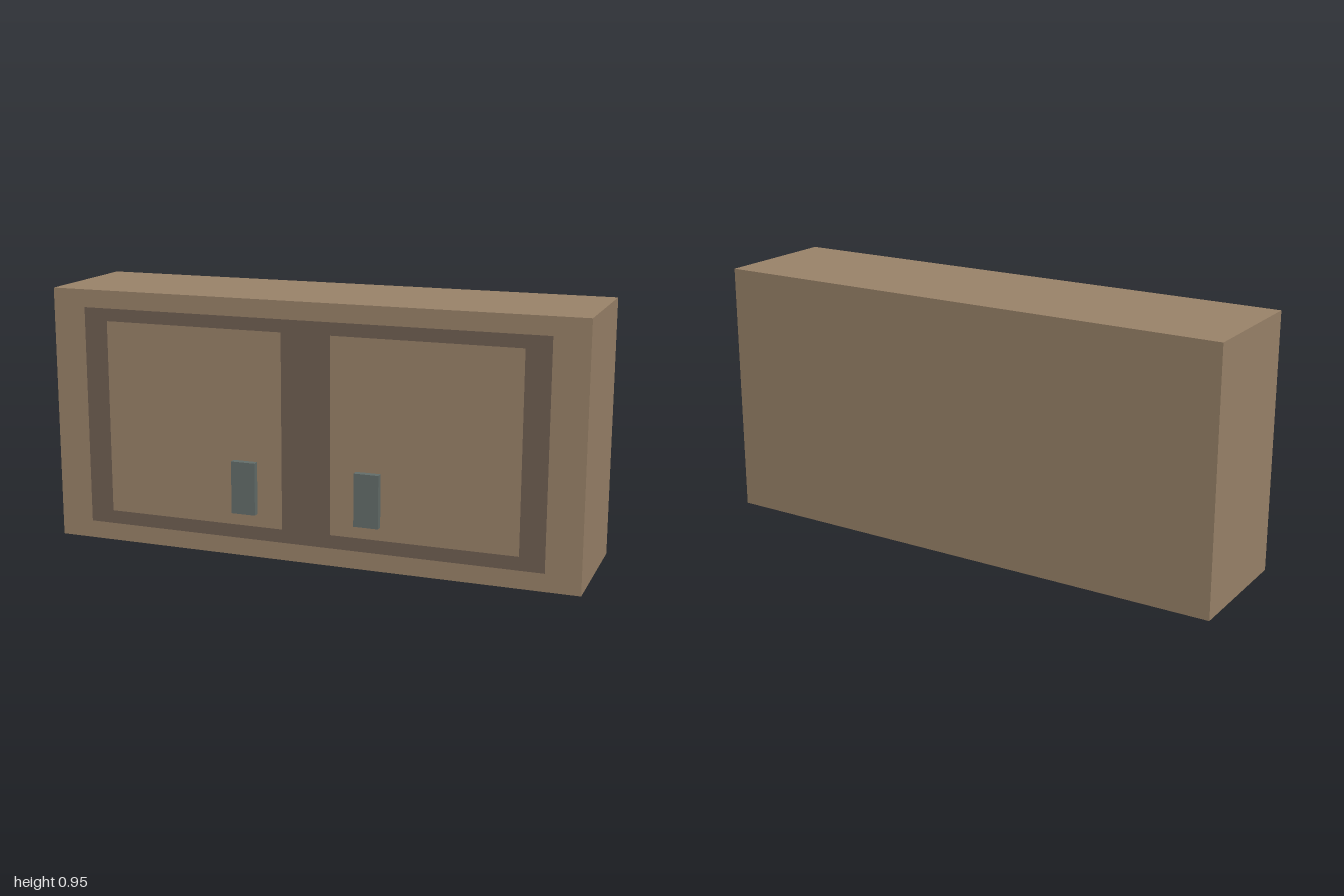
import * as THREE from 'three';

const WOOD = new THREE.MeshStandardMaterial({ color: 0x9b846a });
const DARK_WOOD = new THREE.MeshStandardMaterial({ color: 0x706052 });
const METAL = new THREE.MeshStandardMaterial({ color: 0x646e6b });

const BACK = -0.255, FRONT = 0.23, HEIGHT = 0.953;

// Box given by its minimum and maximum corners
function box(name, material, [x0, y0, z0], [x1, y1, z1]) {
  const mesh = new THREE.Mesh(new THREE.BoxGeometry(x1 - x0, y1 - y0, z1 - z0), material);
  mesh.position.set((x0 + x1) / 2, (y0 + y1) / 2, (z0 + z1) / 2);
  mesh.name = name;
  return mesh;
}

// Closed rectangle used for the trim outline and its openings
function rectangle(PathType, x0, y0, x1, y1) {
  return new PathType([[x0, y0], [x1, y0], [x1, y1], [x0, y1]].map(p => new THREE.Vector2(...p)));
}

export function createModel() {
  const group = new THREE.Group();
  group.name = 'wallCabinet';

  // Cabinet body
  group.add(box('cabinetBody', WOOD, [-1, 0, BACK], [1, HEIGHT, FRONT]));

  // Dark trim inlaid almost flush in the front, open around both door panels
  const trim = rectangle(THREE.Shape, -0.873, 0.066, 0.873, 0.887);
  trim.holes.push(
    rectangle(THREE.Path, -0.782, 0.116, -0.093, 0.84),
    rectangle(THREE.Path, 0.093, 0.116, 0.782, 0.84),
  );
  const trimMesh = new THREE.Mesh(new THREE.ShapeGeometry(trim), DARK_WOOD);
  trimMesh.position.z = FRONT + 0.001;
  trimMesh.name = 'doorTrim';
  group.add(trimMesh);

  // Door handles, mirrored about the centre
  for (const [name, x] of [['leftHandle', 0.235], ['rightHandle', -0.235]]) {
    group.add(box(name, METAL, [x - 0.046, 0.165, FRONT], [x + 0.046, 0.36, 0.255]));
  }

  return group;
}
